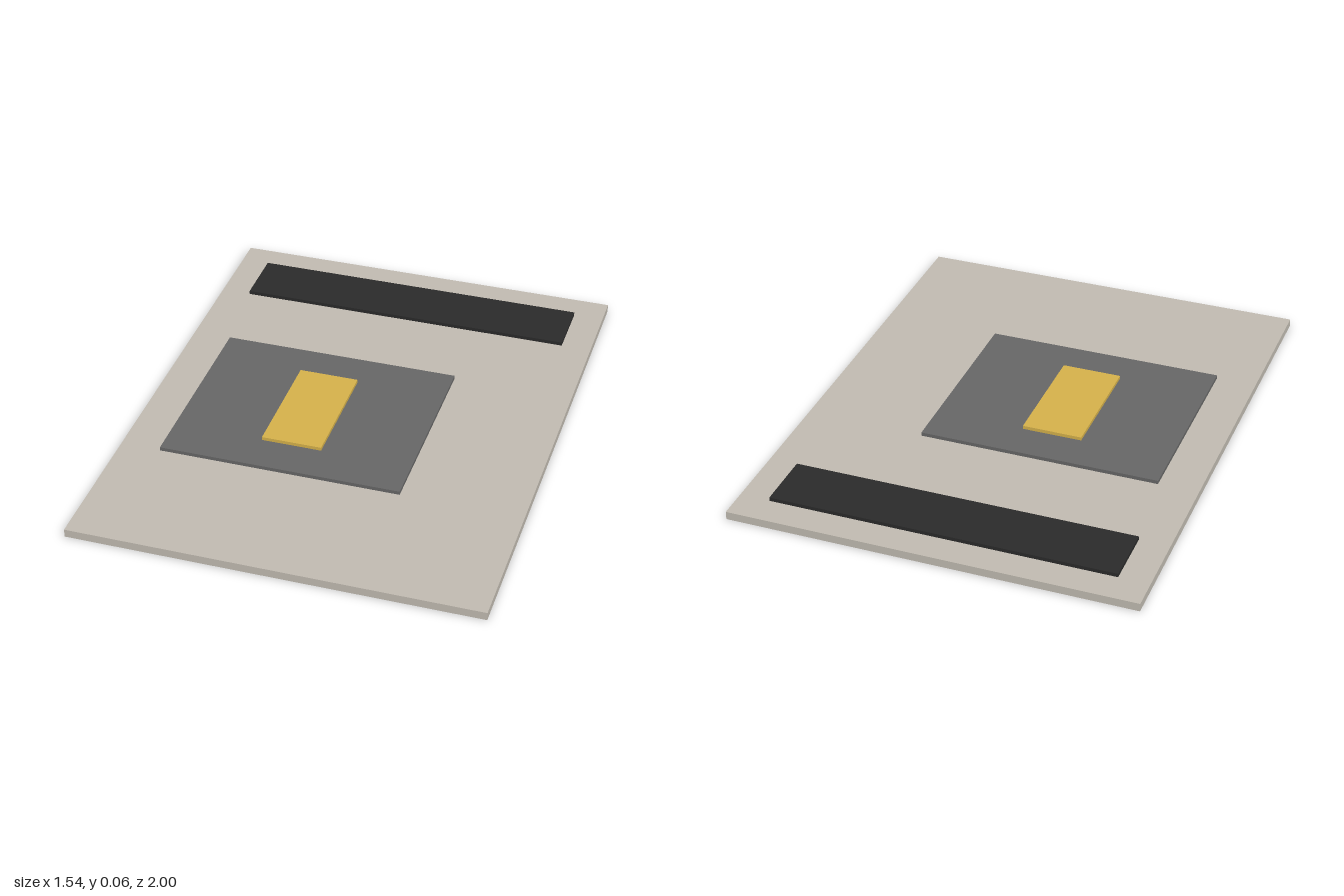
import * as THREE from 'three';

export function createModel() {
  const model = new THREE.Group();

  // Flat rectangular slab centred on (x, z), spanning bottom..top
  function slab(name, color, width, depth, bottom, top, x = 0, z = 0) {
    const mesh = new THREE.Mesh(
      new THREE.BoxGeometry(width, top - bottom, depth),
      new THREE.MeshStandardMaterial({ color })
    );
    mesh.name = name;
    mesh.position.set(x, (bottom + top) / 2, z);
    model.add(mesh);
  }

  slab('basePlate', 0xc0bab0, 1.538, 2, 0, 0.031);
  // Strip along the back edge
  slab('backStrip', 0x2a2a2a, 1.307, 0.23, 0.031, 0.045, 0, -0.77);
  // Offset panel with a raised gold plate at its centre
  slab('panel', 0x666666, 0.922, 0.769, 0.031, 0.045, -0.154, 0.077);
  slab('goldPlate', 0xd4b04a, 0.23, 0.461, 0.045, 0.058, -0.154, 0.077);

  return model;
}
